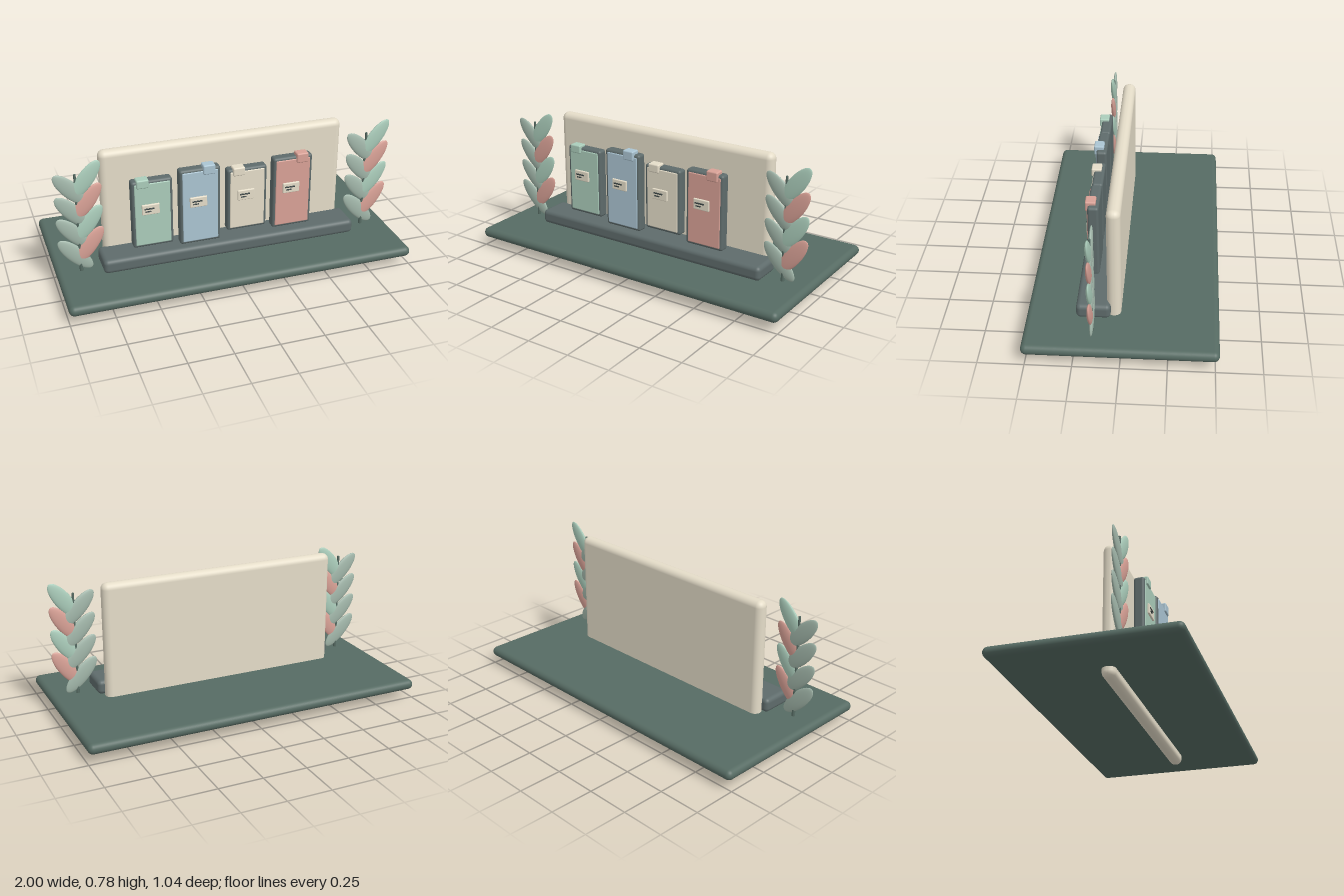
import * as THREE from 'three';
import { RoundedBoxGeometry } from 'three/addons/geometries/RoundedBoxGeometry.js';

const mat = (color) => new THREE.MeshStandardMaterial({ color });
const M = {
  base: mat(0x566b63), slate: mat(0x5e6b6b), cream: mat(0xe4dcc8), ink: mat(0x3a4444),
  mint: mat(0xaaccba), blue: mat(0xaac4d2), rose: mat(0xd8a196), sage: mat(0xa3b8ab),
};

// Rounded box given by its min and max corners
function block(name, min, max, radius, material) {
  const s = max.map((v, i) => v - min[i]);
  const mesh = new THREE.Mesh(new RoundedBoxGeometry(s[0], s[1], s[2], 4, radius), material);
  mesh.position.set(...max.map((v, i) => (v + min[i]) / 2));
  mesh.name = name;
  return mesh;
}

// Upright case with coloured cover, corner tab and small lined label
function makeCase({ x0, x1, y0, y1, tab, label, color }) {
  const g = new THREE.Group();
  g.name = 'case';
  const inset = 0.015;
  g.add(block('caseBody', [x0, y0, 0.142], [x1, y1, 0.203], 0.015, M.slate));
  g.add(block('caseCover', [x0 + inset, y0 + inset, 0.19], [x1 - inset, y1 - inset, 0.207], 0.006, color));
  g.add(block('caseTab', [tab[0], tab[1], 0.16], [tab[0] + 0.07, tab[2], 0.217], 0.008, color));
  g.add(block('caseLabel', [label, 0.438, 0.2], [label + 0.1, 0.5, 0.217], 0.005, M.cream));
  g.add(block('labelLine', [label + 0.012, 0.472, 0.214], [label + 0.07, 0.48, 0.221], 0.002, M.ink));
  g.add(block('labelLine', [label + 0.017, 0.456, 0.214], [label + 0.05, 0.463, 0.221], 0.002, M.ink));
  return g;
}

// Stem with four pairs of flat oval leaves
function makePlant(x) {
  const g = new THREE.Group();
  g.name = 'plant';
  g.position.set(x, 0, 0.156);
  const stem = new THREE.Mesh(new THREE.CylinderGeometry(0.007, 0.01, 0.6, 10), M.base);
  stem.name = 'stem';
  stem.position.set(-0.01, 0.418, 0);
  g.add(stem);
  const leafGeo = new THREE.SphereGeometry(1, 28, 18);
  const leaf = (px, py, tilt, material) => {
    const m = new THREE.Mesh(leafGeo, material);
    m.name = 'leaf';
    m.scale.set(0.047, 0.13, 0.014);
    m.position.set(px, py, px > 0 ? 0.002 : -0.001);
    m.rotation.z = tilt;
    g.add(m);
  };
  for (let i = 0; i < 4; i++) {
    leaf(-0.036, 0.228 + i * 0.133, 0.75, M.sage);
    leaf(0.044, 0.277 + i * 0.134, -0.645, i % 2 ? M.mint : M.rose);
  }
  return g;
}

export function createModel() {
  const model = new THREE.Group();
  model.name = 'shelfDisplay';

  // Base slab, back panel passing through it, and raised ledge
  model.add(block('baseSlab', [-1, 0.06, -0.52], [1, 0.12, 0.52], 0.03, M.base));
  model.add(block('backPanel', [-0.715, 0.004, 0.01], [0.715, 0.787, 0.086], 0.036, M.cream));
  model.add(block('ledge', [-0.75, 0.12, 0.064], [0.75, 0.203, 0.25], 0.025, M.slate));

  // Row of four cases; tab is [left, bottom, top]
  [
    { x0: -0.57, x1: -0.337, y0: 0.23, y1: 0.64, tab: [-0.543, 0.603, 0.653], label: -0.517, color: M.mint },
    { x0: -0.298, x1: -0.06, y0: 0.203, y1: 0.667, tab: [-0.164, 0.63, 0.687], label: -0.243, color: M.blue },
    { x0: -0.02, x1: 0.215, y0: 0.245, y1: 0.63, tab: [0.01, 0.593, 0.643], label: 0.037, color: M.cream },
    { x0: 0.254, x1: 0.49, y0: 0.215, y1: 0.657, tab: [0.39, 0.617, 0.675], label: 0.31, color: M.rose },
  ].forEach((c) => model.add(makeCase(c)));

  // Plants at both ends
  for (const side of [-1, 1]) model.add(makePlant(side * 0.853));
  return model;
}
